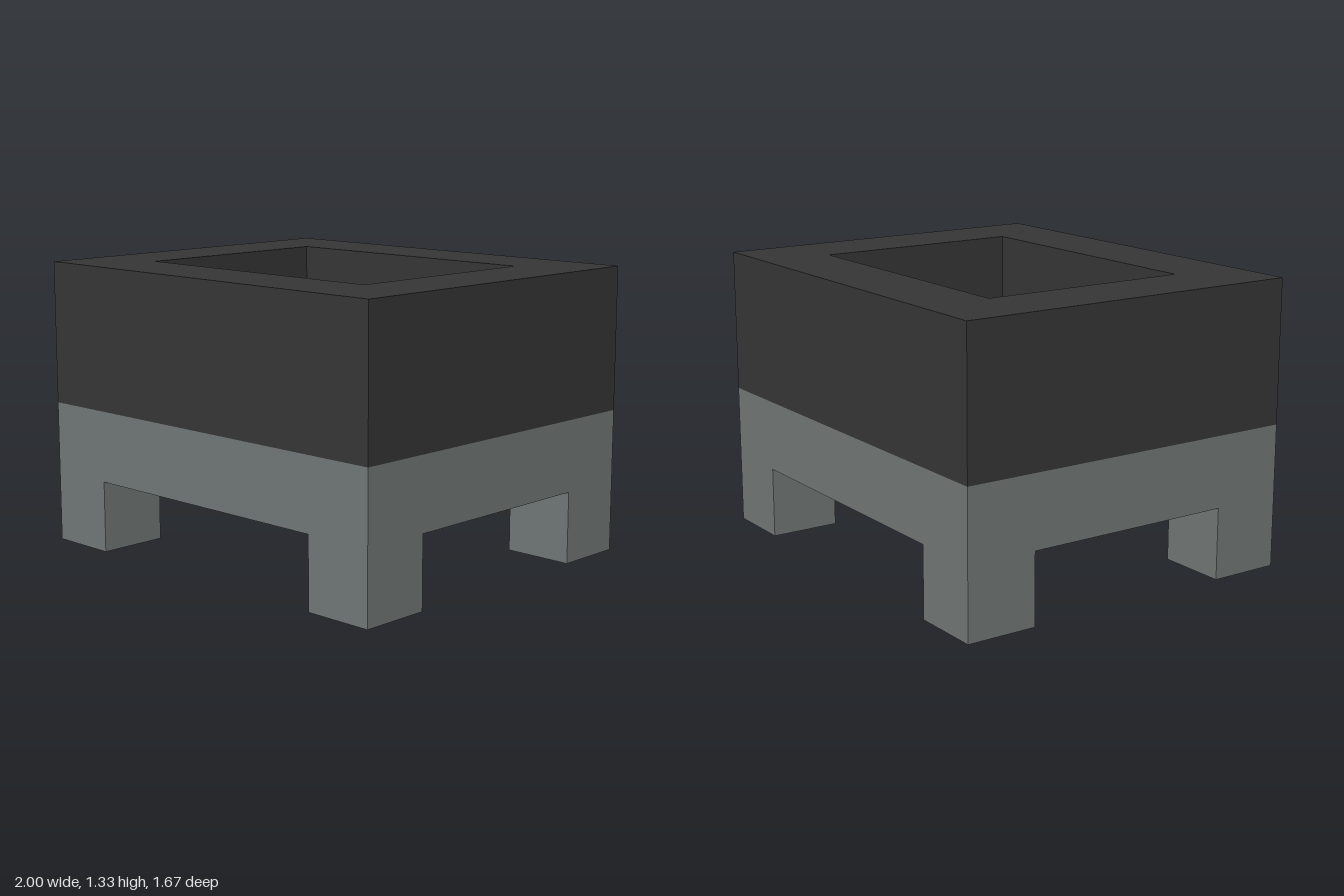
import * as THREE from 'three';

const U = 1 / 3; // wall thickness, leg width and leg height
const W = 6 * U, D = 5 * U; // outer footprint
const INNER_W = W - 2 * U, INNER_D = D - 2 * U;

// Rectangular ring standing on y with the given height
function ringGeometry(y, height) {
  const corners = (w, d) => [[-w, -d], [w, -d], [w, d], [-w, d]]
    .map(([a, b]) => new THREE.Vector2(a / 2, b / 2));
  const shape = new THREE.Shape(corners(W, D));
  shape.holes.push(new THREE.Path(corners(INNER_W, INNER_D).reverse()));
  const geometry = new THREE.ExtrudeGeometry(shape, { depth: height, bevelEnabled: false });
  return geometry.rotateX(-Math.PI / 2).translate(0, y, 0);
}

export function createModel() {
  const charcoal = new THREE.MeshStandardMaterial({ name: 'charcoal', color: 0x353535 });
  const stoneGrey = new THREE.MeshStandardMaterial({ name: 'stoneGrey', color: 0x707675 });

  const model = new THREE.Group();
  model.name = 'footedBasin';
  const add = (name, geometry, material, parent = model) => {
    const mesh = new THREE.Mesh(geometry, material);
    mesh.name = name;
    parent.add(mesh);
    return mesh;
  };

  // Basin: thick walls around a floor halfway up
  add('basinWalls', ringGeometry(2 * U, 2 * U), charcoal);
  add('basinFloor', new THREE.BoxGeometry(INNER_W, U, INNER_D).translate(0, 2.5 * U, 0), charcoal);

  // Base frame, open in the middle underneath
  add('baseFrame', ringGeometry(U, U), stoneGrey);

  // Four square legs, one at each corner
  const legs = new THREE.Group();
  legs.name = 'legs';
  model.add(legs);
  const legGeometry = new THREE.BoxGeometry(U, U, U);
  for (const x of [-1, 1]) {
    for (const z of [-1, 1]) {
      const name = (z > 0 ? 'front' : 'back') + (x > 0 ? 'Left' : 'Right') + 'Leg';
      add(name, legGeometry, stoneGrey, legs)
        .position.set(x * (W - U) / 2, U / 2, z * (D - U) / 2);
    }
  }
  return model;
}
